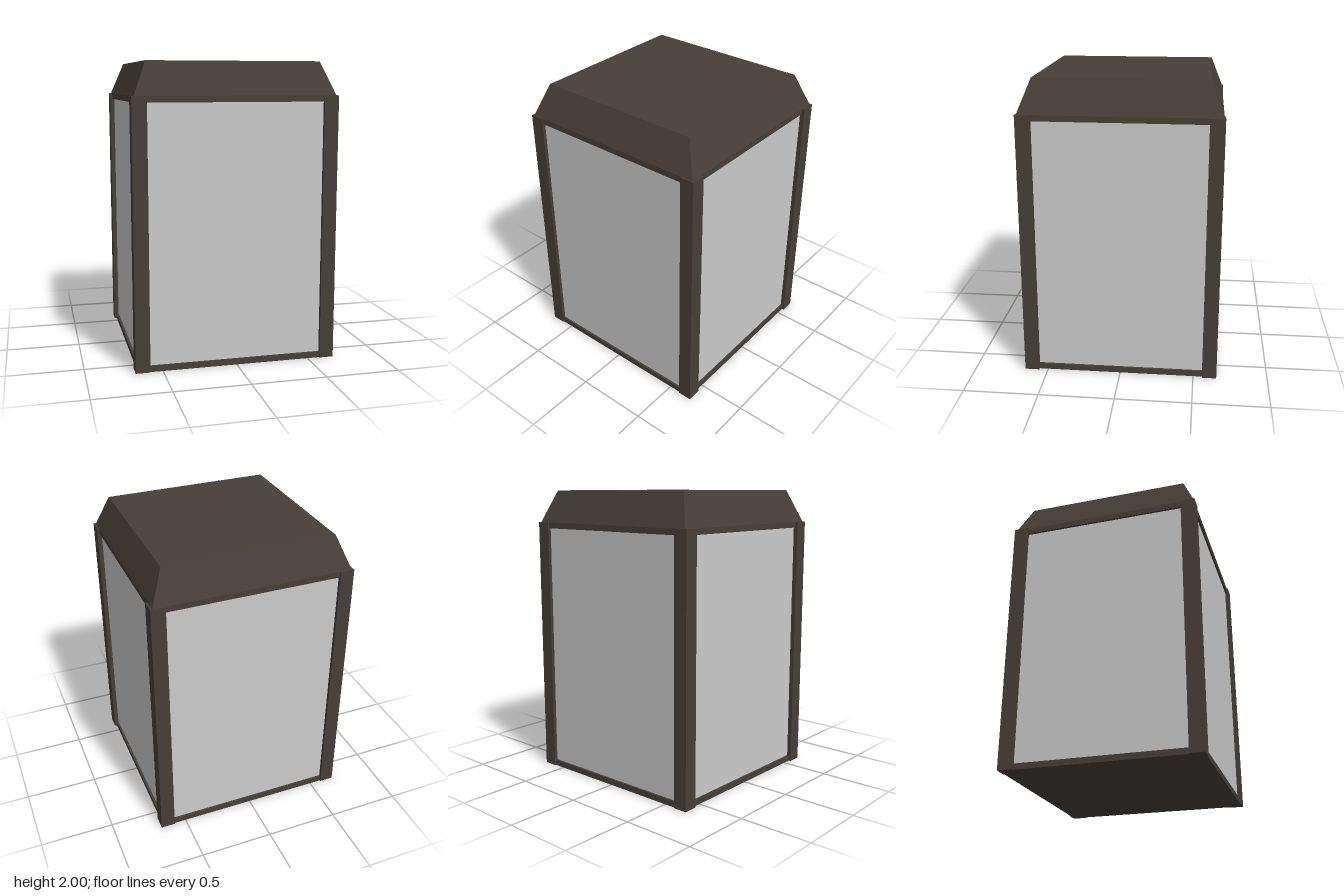
import * as THREE from 'three';

export function createModel() {
  const model = new THREE.Group();
  const frameMat = new THREE.MeshStandardMaterial({ color: 0x473f38, flatShading: true });
  const paneMat = new THREE.MeshStandardMaterial({ color: 0xcccccc, flatShading: true });

  // Box standing on y0, centred on (x, z)
  function box(name, mat, w, h, d, x, y0, z) {
    const mesh = new THREE.Mesh(new THREE.BoxGeometry(w, h, d), mat);
    mesh.name = name;
    mesh.position.set(x, y0 + h / 2, z);
    model.add(mesh);
    return mesh;
  }

  // Base slab, paned body and the rim under the roof
  box('base', frameMat, 1.33, 0.04, 1.3, 0, 0, 0);
  box('panes', paneMat, 1.3, 1.7, 1.27, 0, 0.04, 0);
  box('rim', frameMat, 1.33, 0.04, 1.3, 0, 1.74, 0);

  // Corner posts, standing slightly proud of the body
  for (const sx of [-1, 1]) {
    for (const sz of [-1, 1]) {
      const name = (sz > 0 ? 'front' : 'back') + (sx > 0 ? 'Left' : 'Right') + 'Post';
      box(name, frameMat, 0.097, 1.78, 0.097, sx * 0.632, 0, sz * 0.609);
    }
  }

  // Tapered roof: a box whose upper corners are drawn inwards
  const roof = box('roof', frameMat, 1.33, 0.22, 1.3, 0, 1.78, 0);
  const pos = roof.geometry.attributes.position;
  for (let i = 0; i < pos.count; i++) {
    if (pos.getY(i) > 0) {
      pos.setX(i, Math.sign(pos.getX(i)) * 0.577);
      pos.setZ(i, Math.sign(pos.getZ(i)) * 0.564);
    }
  }
  roof.geometry.computeVertexNormals();

  return model;
}
